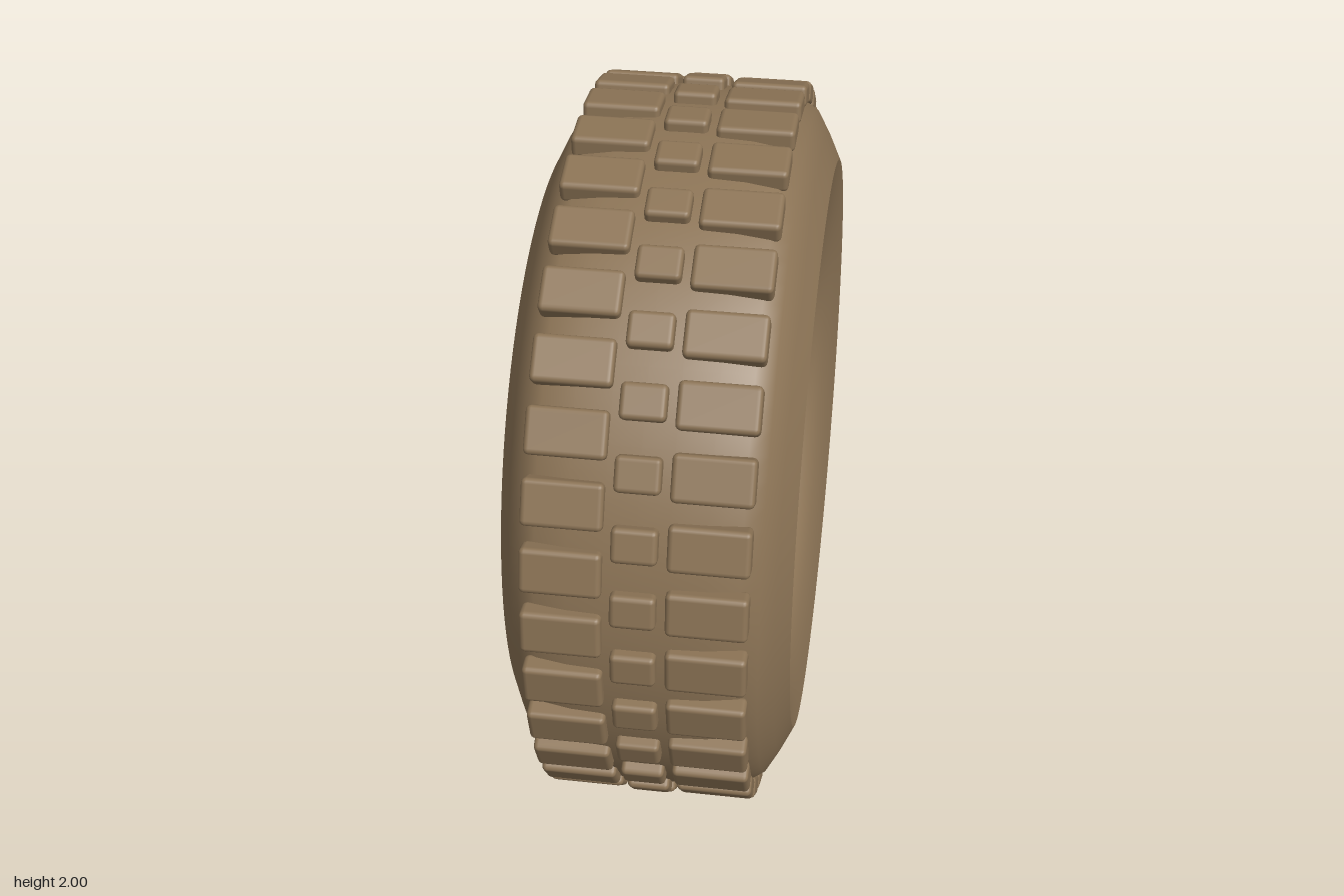
import * as THREE from 'three';
import { RoundedBoxGeometry } from 'three/addons/geometries/RoundedBoxGeometry.js';

const brown = new THREE.MeshStandardMaterial({ color: 0x8b7355 });
brown.name = 'brown';

function add(parent, name, geometry) {
  const mesh = new THREE.Mesh(geometry, brown);
  mesh.name = name;
  parent.add(mesh);
  return mesh;
}

// Surface of revolution about the x axis from [radius, x] points.
function revolve(points) {
  const profile = points.map(([r, x]) => new THREE.Vector2(r, x));
  return new THREE.LatheGeometry(profile, 96).rotateZ(-Math.PI / 2);
}

// The same profile on the other side, with its order reversed to stay outward.
const mirrored = (points) => points.map(([r, x]) => [r, -x]).reverse();

// A ring of rounded tread blocks.
function treadRow(parent, name, x, width, length, top, offset) {
  const row = new THREE.Group();
  row.name = name;
  const depth = 0.06;
  const block = new RoundedBoxGeometry(width, depth, length, 2, 0.014);
  block.translate(x, top - depth / 2, 0);
  for (let i = 0; i < 36; i++) {
    add(row, 'treadBlock', block).rotation.x = ((i + offset) / 36) * Math.PI * 2;
  }
  parent.add(row);
}

export function createModel() {
  const model = new THREE.Group();
  model.name = 'wheel';
  const wheel = new THREE.Group();
  wheel.name = 'wheelAssembly';
  wheel.position.y = 1;
  model.add(wheel);

  // Tyre carcass
  const half = [[0.969, 0.08], [0.964, 0.17], [0.95, 0.25], [0.92, 0.296], [0.86, 0.331], [0.79, 0.365]];
  add(wheel, 'tyreCarcass', revolve([...mirrored(half), [0.97, 0], ...half]));

  // Sidewall, bead and rim barrel, separate so that the edges stay crisp
  const rings = {
    sidewall: [[0.79, 0.365], [0.73, 0.351], [0.67, 0.33], [0.63, 0.306], [0.605, 0.275]],
    tyreBead: [[0.605, 0.275], [0.597, 0.22]],
    rimLip: [[0.597, 0.22], [0.582, 0.212]],
    rimFlange: [[0.582, 0.212], [0.58, 0.14]],
    rimStep: [[0.58, 0.14], [0.573, 0.138]],
    rimBarrel: [[0.573, 0.138], [0.573, 0]],
  };
  for (const [name, points] of Object.entries(rings)) {
    add(wheel, name + 'Left', revolve(points));
    add(wheel, name + 'Right', revolve(mirrored(points)));
  }

  // Tread: two staggered shoulder rows and a centre row
  treadRow(wheel, 'leftTread', 0.175, 0.2, 0.118, 0.994, 0);
  treadRow(wheel, 'rightTread', -0.18, 0.2, 0.118, 0.994, 0.5);
  treadRow(wheel, 'centreTread', -0.003, 0.113, 0.09, 1, 0);

  // Wheel disc
  const disc = new THREE.CylinderGeometry(0.575, 0.575, 0.05, 96).rotateZ(Math.PI / 2);
  add(wheel, 'wheelDisc', disc);

  // Six chamfered spokes on the right face
  const section = new THREE.Shape([
    [-0.02, -0.05], [-0.105, -0.05], [-0.125, -0.03],
    [-0.125, 0.03], [-0.105, 0.05], [-0.02, 0.05],
  ].map(([x, y]) => new THREE.Vector2(x, y)));
  const spoke = new THREE.ExtrudeGeometry(section, { depth: 0.42, bevelEnabled: false });
  spoke.translate(0, 0, 0.152).rotateX(-Math.PI / 2);

  // Hub with a bevelled rim and a ring of bolts
  add(wheel, 'hub', revolve([[0.188, -0.17], [0.2, -0.158], [0.2, -0.02]]));
  const cap = new THREE.CylinderGeometry(0.188, 0.188, 0.02, 64).rotateZ(Math.PI / 2);
  add(wheel, 'hubCap', cap).position.x = -0.16;
  const bolt = new THREE.CylinderGeometry(0.013, 0.013, 0.016, 12).rotateZ(Math.PI / 2);
  bolt.translate(-0.172, 0.15, 0);

  for (let i = 0; i < 6; i++) {
    const angle = (i * Math.PI) / 3;
    add(wheel, 'spoke', spoke).rotation.x = angle;
    add(wheel, 'bolt', bolt).rotation.x = angle;
  }
  return model;
}
